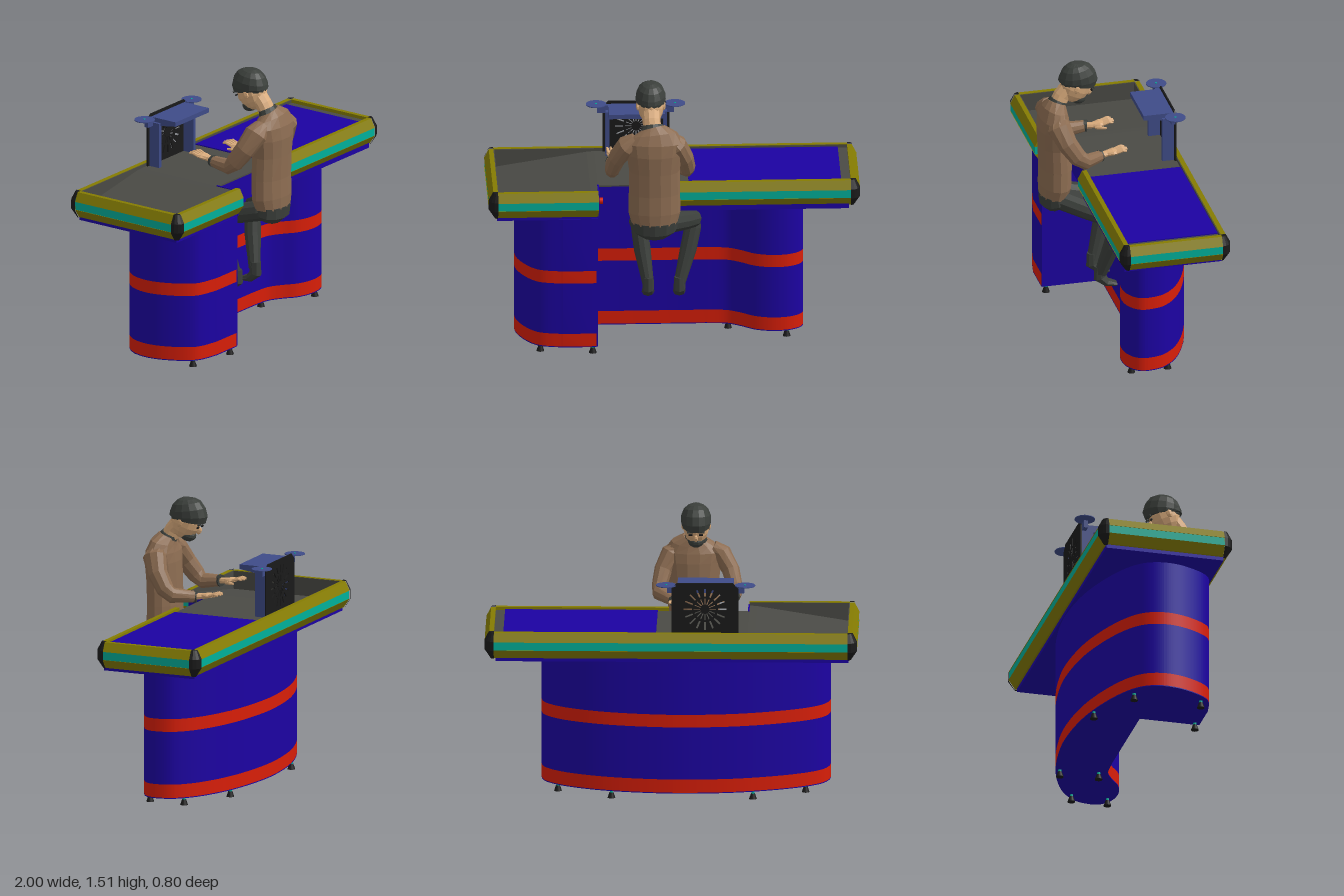
import * as THREE from 'three';
import { toCreasedNormals } from 'three/addons/utils/BufferGeometryUtils.js';

const mat = (name, color) => {
  const m = new THREE.MeshStandardMaterial({ color });
  m.name = name;
  return m;
};

export function createModel() {
  const navy = mat('navy', 0x1c02a2), red = mat('red', 0xd81e08), olive = mat('olive', 0x857c02),
    teal = mat('teal', 0x00b09a), black = mat('black', 0x1a1a1a), grey = mat('grey', 0x4a4a45),
    slate = mat('slate blue', 0x3f4c88), skin = mat('skin', 0xd9ab7c),
    brown = mat('brown', 0x8d6d52), dark = mat('charcoal', 0x3b3f3b);
  const root = new THREE.Group();
  const group = (name, parent = root) => {
    const g = new THREE.Group();
    g.name = name;
    parent.add(g);
    return g;
  };
  const add = (parent, name, geo, material, x = 0, y = 0, z = 0) => {
    const m = new THREE.Mesh(geo, material);
    m.name = name;
    m.position.set(x, y, z);
    parent.add(m);
    return m;
  };
  // Box given by its minimum and maximum corners
  const box = (parent, name, material, x0, y0, z0, x1, y1, z1) =>
    add(parent, name, new THREE.BoxGeometry(x1 - x0, y1 - y0, z1 - z0), material,
      (x0 + x1) / 2, (y0 + y1) / 2, (z0 + z1) / 2);
  const poly = pts => new THREE.Shape(pts.map(p => new THREE.Vector2(p[0], p[1])));
  const extrude = (shape, depth, curveSegments = 8) =>
    new THREE.ExtrudeGeometry(shape, { depth, bevelEnabled: false, curveSegments });
  // Plan outline (x, -z) raised from y0 to y1
  const slab = (parent, name, material, shape, y0, y1) => {
    const g = extrude(shape, y1 - y0, 64).rotateX(-Math.PI / 2);
    return add(parent, name, toCreasedNormals(g, 0.5), material, 0, y0, 0);
  };
  const flat = g => {
    const n = g.index ? g.toNonIndexed() : g;
    n.computeVertexNormals();
    return n;
  };
  // Faceted tube through rings [x, y, z, half width, half depth]
  const loft = (rings, sides = 10) => {
    const pos = [], idx = [], n = rings.length;
    const c = rings.map(r => new THREE.Vector3(r[0], r[1], r[2]));
    rings.forEach((r, i) => {
      const t = c[Math.min(i + 1, n - 1)].clone().sub(c[Math.max(i - 1, 0)]).normalize();
      const u = new THREE.Vector3(1, 0, 0).addScaledVector(t, -t.x).normalize();
      const v = t.clone().cross(u);
      for (let j = 0; j < sides; j++) {
        const a = j / sides * Math.PI * 2;
        const p = c[i].clone().addScaledVector(u, r[3] * Math.cos(a)).addScaledVector(v, (r[4] ?? r[3]) * Math.sin(a));
        pos.push(p.x, p.y, p.z);
      }
    });
    pos.push(...c[0].toArray(), ...c[n - 1].toArray());
    for (let j = 0; j < sides; j++) {
      const k = (j + 1) % sides, e = (n - 1) * sides;
      for (let i = 0; i < n - 1; i++) {
        const a = i * sides, b = a + sides;
        idx.push(a + j, a + k, b + k, a + j, b + k, b + j);
      }
      idx.push(n * sides, k, j, n * sides + 1, e + j, e + k);
    }
    const g = new THREE.BufferGeometry();
    g.setAttribute('position', new THREE.Float32BufferAttribute(pos, 3));
    g.setIndex(idx);
    return flat(g);
  };

  // Curved cabinet with knee recess and coloured bands
  const base = group('cabinet');
  const curve = [[-0.74, 0.26], [-0.83, 0.12], [-0.85, -0.02], [-0.79, -0.14], [-0.62, -0.24],
    [-0.36, -0.32], [-0.08, -0.35], [0.15, -0.335], [0.37, -0.29], [0.56, -0.21], [0.67, -0.115], [0.7, -0.02],
    [0.685, 0.045], [0.62, 0.09], [0.53, 0.1], [0.44, 0.075], [0.365, 0.02], [0.29, -0.02], [0.18, -0.03]];
  const plan = new THREE.Shape();
  plan.moveTo(-0.42, -0.3);
  plan.lineTo(-0.6, -0.3);
  plan.splineThru(curve.map(p => new THREE.Vector2(p[0], -p[1])));
  plan.lineTo(-0.42, 0.03);
  [[0.042, 0.047, navy], [0.047, 0.12, red], [0.12, 0.41, navy], [0.41, 0.48, red], [0.48, 0.78, navy]]
    .forEach(([a, b, m], i) => slab(base, 'cabinetBand' + i, m, plan, a, b));
  box(base, 'recessPanel', navy, -0.42, 0.045, -0.03, -0.412, 0.78, 0.298);
  for (const [x, z] of [[0.61, 0.06], [0.61, -0.14], [0.3, -0.07], [0.32, -0.28], [-0.44, -0.29],
    [-0.44, 0.27], [-0.72, 0.23], [-0.72, -0.14]]) {
    add(base, 'footStem', new THREE.CylinderGeometry(0.009, 0.009, 0.04, 10), teal, x, 0.035, z);
    add(base, 'footPad', new THREE.CylinderGeometry(0.011, 0.021, 0.03, 14), black, x, 0.015, z);
  }

  // Counter deck: raised centre, conveyor, and sloping bagging tray
  const deck = group('counter');
  slab(deck, 'deckBody', navy, poly([[-0.955, 0.355], [-0.955, -0.295], [-0.41, -0.295], [-0.41, -0.16],
    [0.02, -0.16], [0.02, -0.18], [0.94, -0.18], [0.94, 0.355]]), 0.775, 0.82);
  box(deck, 'deckCore', navy, -0.41, 0.82, -0.355, 0.955, 0.912, 0.16);
  box(deck, 'deckTop', grey, -0.41, 0.912, -0.355, 0.955, 0.92, 0.165);
  box(deck, 'conveyorBelt', navy, 0.08, 0.92, -0.35, 0.9, 0.926, 0.163);
  add(deck, 'trayFloor', extrude(poly([[-0.955, 0.82], [-0.41, 0.82], [-0.41, 0.92], [-0.45, 0.917], [-0.955, 0.836]]), 0.65),
    grey, 0, 0, -0.355);
  box(deck, 'trayEndPlate', navy, -0.412, 0.78, 0.16, -0.404, 0.925, 0.3);
  box(deck, 'trayLinerSide', grey, -0.952, 0.825, -0.352, -0.945, 0.936, 0.292);
  box(deck, 'trayLinerBack', grey, -0.95, 0.825, -0.352, 0.95, 0.936, -0.345);
  box(deck, 'trayLinerFront', grey, -0.95, 0.825, 0.285, -0.412, 0.936, 0.292);
  add(deck, 'stopButton', new THREE.CylinderGeometry(0.018, 0.018, 0.02, 16).rotateZ(Math.PI / 2), red, -0.395, 0.86, 0.235);

  // Bumper rails: three profile strips, measured from the outer face
  const strips = [
    ['railTop', olive, [[-0.05, 0.89], [0, 0.89], [-0.025, 0.938], [-0.05, 0.938]]],
    ['railStripe', teal, [[-0.05, 0.845], [-0.003, 0.845], [-0.003, 0.89], [-0.05, 0.89]]],
    ['railBottom', olive, [[-0.05, 0.795], [-0.035, 0.795], [0, 0.845], [-0.05, 0.845]]]];
  const rail = (name, length, x, z, turn) => {
    const g = group(name, deck);
    g.position.set(x, 0, z);
    g.rotation.y = turn;
    for (const [n, m, pts] of strips) add(g, n, extrude(poly(pts), length), m, 0, 0, -length / 2);
  };
  const q = Math.PI / 2;
  rail('backRail', 1.9, 0, -0.4, q);
  rail('rightEndRail', 0.51, 1, -0.095, 0);
  rail('leftEndRail', 0.64, -1, -0.03, Math.PI);
  rail('frontRailTray', 0.54, -0.68, 0.34, -q);
  rail('frontRailBelt', 0.93, 0.485, 0.21, -q);
  // Quarter-turn corner caps
  const cornerProfile = [[0, 0.792], [0.018, 0.792], [0.051, 0.842], [0.051, 0.893], [0.027, 0.94], [0, 0.94]]
    .map(p => new THREE.Vector2(p[0], p[1]));
  [[0.95, 0.16], [0.95, -0.35], [-0.95, -0.35], [-0.95, 0.29]].forEach(([x, z], i) =>
    add(deck, 'railCorner', flat(new THREE.LatheGeometry(cornerProfile, 4, i * q, q)), black, x, 0, z));

  // Scanner stand with slotted back plate and side dishes
  const stand = group('scannerStand');
  const plate = poly([[-0.18, -0.145], [0.18, -0.145], [0.18, 0.115], [0.15, 0.145], [-0.15, 0.145], [-0.18, 0.115]]);
  for (let i = 0; i < 16; i++) {
    const a = i / 16 * Math.PI * 2, ca = Math.cos(a), sa = Math.sin(a);
    for (const [r0, r1, w] of [[0.025, 0.06, 0.003], [0.07, 0.115, 0.005]])
      plate.holes.push(new THREE.Path([[r0, -w], [r0, w], [r1, w], [r1, -w]].map(([r, t]) =>
        new THREE.Vector2(r * ca - t * sa, r * sa + t * ca))));
  }
  add(stand, 'slottedPlate', extrude(plate, 0.008), black, -0.183, 1.065, -0.343);
  for (const x of [-0.35, -0.04]) box(stand, 'standUpright', slate, x, 0.92, -0.335, x + 0.02, 1.17, -0.27);
  add(stand, 'standHood', extrude(poly([[0.17, 1.17], [0.17, 1.195], [0.335, 1.195], [0.335, 1.155], [0.27, 1.155]]), 0.3)
    .rotateY(q), slate, -0.335, 0, 0);
  for (const s of [-1, 1]) {
    const x = -0.187 + s * 0.212, arm = -0.187 + s * 0.175;
    add(stand, 'sideDish', new THREE.CylinderGeometry(0.055, 0.055, 0.004, 24), slate, x, 1.196, -0.33);
    add(stand, 'dishPin', new THREE.CylinderGeometry(0.006, 0.006, 0.006, 8), teal, x, 1.197, -0.33);
    box(stand, 'dishArm', slate, arm - 0.032, 1.152, -0.333, arm + 0.032, 1.194, -0.31);
  }

  // Seated cashier, facing the back
  const person = group('cashier');
  const cx = -0.11;
  add(person, 'sweater', loft([[cx, 0.75, 0.315, 0.12, 0.075], [cx, 0.82, 0.305, 0.14, 0.088], [cx, 0.93, 0.302, 0.138, 0.088],
    [cx, 1.06, 0.307, 0.136, 0.088], [cx, 1.16, 0.312, 0.15, 0.088], [cx, 1.22, 0.312, 0.16, 0.08],
    [cx, 1.265, 0.305, 0.122, 0.066], [cx - 0.008, 1.297, 0.292, 0.066, 0.05]], 14), brown);
  add(person, 'collar', loft([[-0.118, 1.288, 0.29, 0.066, 0.052], [-0.12, 1.31, 0.28, 0.055, 0.046]], 12), dark);
  add(person, 'neck', loft([[-0.12, 1.27, 0.295, 0.05, 0.045], [-0.124, 1.33, 0.262, 0.048, 0.046],
    [-0.125, 1.4, 0.2, 0.052, 0.05]]), skin);
  add(person, 'hips', loft([[cx, 0.7, 0.295, 0.09, 0.06], [cx, 0.725, 0.31, 0.122, 0.08], [cx, 0.775, 0.315, 0.124, 0.077]], 12), dark);
  add(person, 'hair', loft([[-0.125, 1.395, 0.176, 0.076, 0.1], [-0.125, 1.415, 0.172, 0.081, 0.108],
    [-0.125, 1.45, 0.176, 0.08, 0.1], [-0.125, 1.485, 0.181, 0.066, 0.08], [-0.125, 1.505, 0.184, 0.044, 0.052],
    [-0.125, 1.513, 0.184, 0.02, 0.024]], 14), dark);

  const head = group('head', person);
  head.position.set(-0.125, 1.4, 0.17);
  head.rotation.x = -0.4;
  const ball = (name, m, x, y, z, rx, ry, rz, w = 10, h = 8) =>
    add(head, name, flat(new THREE.SphereGeometry(1, w, h).scale(rx, ry, rz)), m, x, y, z);
  ball('face', skin, 0, -0.02, 0.008, 0.07, 0.1, 0.085, 12, 9);
  ball('napeHair', dark, 0, -0.005, 0.056, 0.06, 0.05, 0.045);
  ball('beard', dark, 0, -0.084, -0.03, 0.046, 0.036, 0.046);
  ball('nose', skin, 0, -0.035, -0.08, 0.012, 0.022, 0.016, 6, 5);
  for (const s of [-1, 1]) {
    ball('ear', skin, s * 0.07, -0.02, 0.015, 0.01, 0.026, 0.018, 6, 5);
    box(head, 'brow', dark, s * 0.03 - 0.016, 0.002, -0.083, s * 0.03 + 0.016, 0.01, -0.075);
    box(head, 'eye', black, s * 0.028 - 0.01, -0.017, -0.081, s * 0.028 + 0.01, -0.009, -0.074);
  }

  // Arms, hands and legs, mirrored about the body with small pose changes
  for (const [s, wx, wy, spread] of [[-1, -0.32, 1.025, 1], [1, -0.018, 1.0, 0.82]]) {
    const side = s < 0 ? 'left' : 'right', sx = d => cx + s * d;
    const ax = d => sx(d * spread);
    add(person, side + 'Sleeve', loft([[ax(0.1), 1.238, 0.31, 0.04, 0.045], [ax(0.15), 1.205, 0.31, 0.052, 0.066],
      [ax(0.2), 1.12, 0.272, 0.048, 0.056], [ax(0.222), 1.045, 0.22, 0.042, 0.05], [ax(0.222), 1.015, 0.18, 0.04, 0.043],
      [wx + s * 0.012, wy, 0.08, 0.031, 0.031]]), brown);
    add(person, side + 'Cuff', loft([[wx + s * 0.014, wy, 0.088, 0.033], [wx + s * 0.008, wy, 0.07, 0.032]]), dark);
    add(person, side + 'Palm', loft([[wx + s * 0.01, wy, 0.08, 0.02, 0.018], [wx, wy + 0.005, 0.04, 0.022, 0.016],
      [wx, wy + 0.012, 0.005, 0.036, 0.015], [wx, wy + 0.014, -0.015, 0.034, 0.011]], 8), skin);
    for (let f = 0; f < 4; f++) {
      const o = (f - 1.5) * 0.017, tip = -0.078 + Math.abs(f - 1.5) * 0.009;
      add(person, side + 'Finger', loft([[wx + o, wy + 0.014, -0.01, 0.009], [wx + o * 1.15, wy + 0.026, -0.045, 0.008],
        [wx + o * 1.25, wy + 0.022, tip, 0.005]], 6), skin);
    }
    add(person, side + 'Thumb', loft([[wx - s * 0.02, wy, 0.03, 0.011], [wx - s * 0.042, wy + 0.002, 0.0, 0.009],
      [wx - s * 0.048, wy, -0.025, 0.005]], 6), skin);

    const kx = s < 0 ? -0.18 : 0.108, fx = s < 0 ? -0.135 : 0.033;
    add(person, side + 'Thigh', loft([[sx(0.05), 0.758, 0.345, 0.05, 0.038], [sx(0.06), 0.742, 0.28, 0.064, 0.056],
      [(sx(0.075) + kx) / 2, 0.705, 0.15, 0.06, 0.054], [kx, 0.672, 0.035, 0.05, 0.048], [kx, 0.64, 0.01, 0.036, 0.036]]), dark);
    add(person, side + 'Shin', loft([[kx, 0.68, 0.015, 0.035, 0.035], [kx, 0.62, 0.015, 0.045, 0.044],
      [(kx * 2 + fx) / 3, 0.5, 0.035, 0.045, 0.048], [fx, 0.32, 0.085, 0.031, 0.034]]), dark);
    add(person, side + 'Shoe', loft([[fx, 0.36, 0.09, 0.029, 0.03], [fx, 0.295, 0.09, 0.032, 0.036],
      [fx, 0.262, 0.055, 0.034, 0.024], [fx, 0.248, 0.0, 0.026, 0.012]], 8), dark);
  }
  return root;
}
